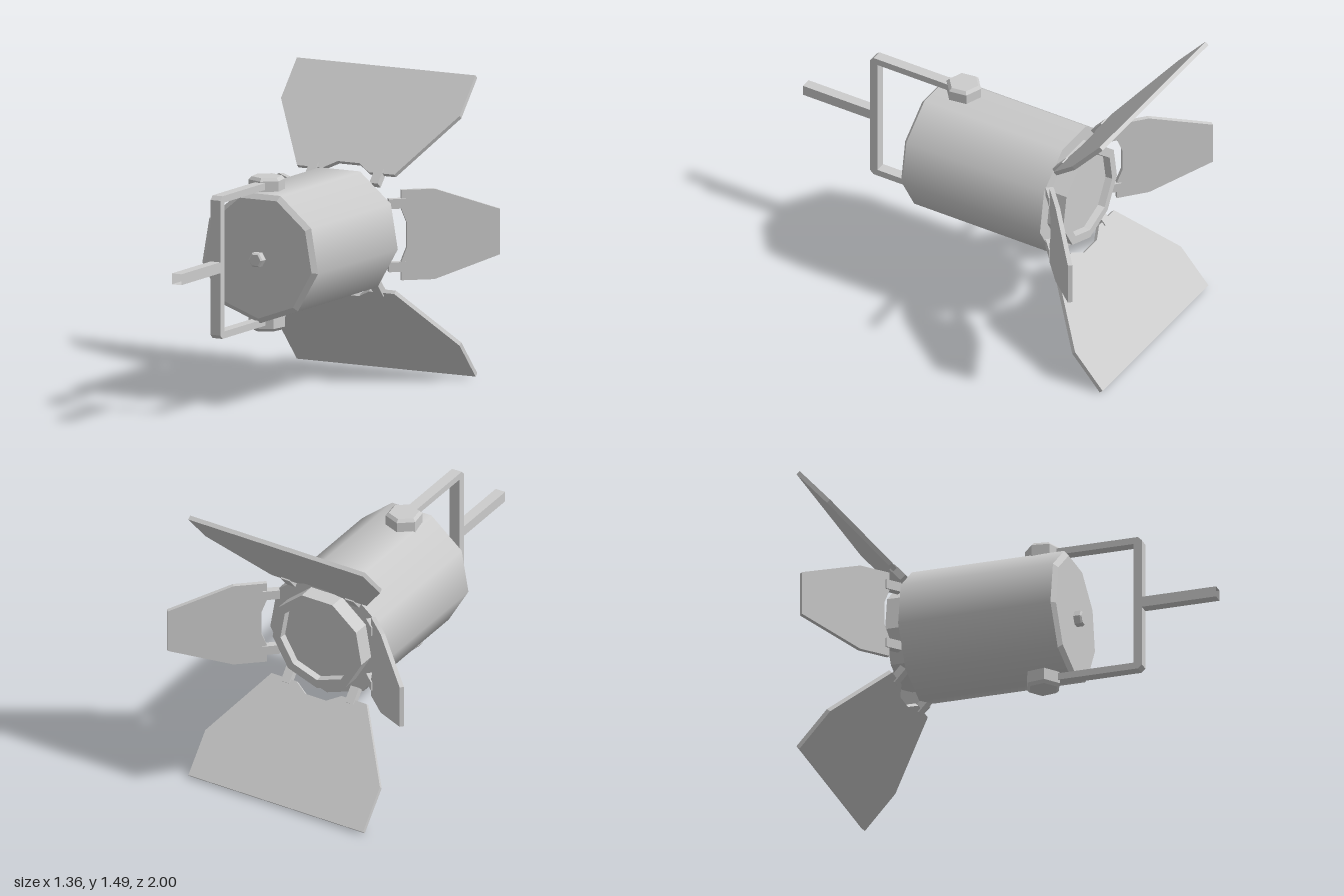
import * as THREE from 'three';

const CENTER_Y = 0.737;
const smooth = new THREE.MeshStandardMaterial({ color: 0xcccccc });
const flat = new THREE.MeshStandardMaterial({ color: 0xcccccc, flatShading: true });
const open = new THREE.MeshStandardMaterial({ color: 0xcccccc, flatShading: true, side: THREE.DoubleSide });

function part(name, geometry, material = flat) {
  const mesh = new THREE.Mesh(geometry, material);
  mesh.name = name;
  return mesh;
}

// Revolve [radius, height] pairs around y
function lathe(points, sides) {
  return new THREE.LatheGeometry(points.map(p => new THREE.Vector2(...p)), sides);
}

function extrude(points, depth) {
  const shape = new THREE.Shape(points.map(p => new THREE.Vector2(...p)));
  return new THREE.ExtrudeGeometry(shape, { depth, bevelEnabled: false }).translate(0, 0, -depth / 2);
}

// Hexagonal bolt with a chamfered head, rising along y from its base
function bolt(name, radius, height, chamfer) {
  return part(name, lathe([
    [0, 0], [radius, 0], [radius, height - chamfer], [radius - chamfer, height], [0, height],
  ], 6));
}

// Nine-sided lamp housing with its axis along z
function lampBody() {
  const body = new THREE.Group();
  body.name = 'lampBody';
  const r = 0.329;
  const shell = new THREE.CylinderGeometry(r, r, 0.78, 9, 1, true).translate(0, -0.15, 0);
  body.add(part('shell', shell, smooth));
  body.add(part('endCap', lathe([[r, 0.24], [0.303, 0.26], [0, 0.26]], 9)));
  body.add(part('lensRing', lathe([
    [0, -0.595], [0.208, -0.595], [0.213, -0.63], [0.258, -0.63], [0.258, -0.54], [r, -0.54],
  ], 9)));
  const capBolt = bolt('capBolt', 0.039, 0.04, 0.008);
  capBolt.position.set(0.004, 0.26, 0.009);
  capBolt.rotation.y = Math.PI / 2;
  body.add(capBolt);
  body.rotation.x = Math.PI / 2;
  body.position.set(-0.004, CENTER_Y, 0);
  return body;
}

// Hinged flap: u runs across, v runs outward from the hinge
function barnDoor(name, d, turn) {
  const door = new THREE.Group();
  door.name = name;
  const right = [
    [0.06, d.notch], [0.13, 0], [d.inner, 0], [d.wide, d.shoulder], [d.outer, d.length],
  ];
  const left = right.map(([u, v]) => [-u, v]).reverse();
  const flap = new THREE.Group();
  flap.add(part('flap', extrude([...right, ...left], 0.022)));
  for (const side of [-1, 1]) {
    const tab = part('hingeTab', new THREE.BoxGeometry(0.048, 0.085, 0.036));
    tab.position.set(side * d.tab, -0.02, 0);
    flap.add(tab);
  }
  flap.position.set(0, d.radius, -0.597);
  flap.rotation.x = -0.725;
  door.add(flap);
  door.position.y = 0.742;
  door.rotation.z = turn;
  return door;
}

// U-shaped yoke, side profile given as [z, y]
function yoke() {
  const profile = [
    [0.1, 1.09], [0.6, 1.09], [0.62, 1.07], [0.62, 0.405], [0.6, 0.386], [0.1, 0.386],
    [0.1, 0.42], [0.578, 0.42], [0.578, 1.056], [0.1, 1.056],
  ];
  const mesh = part('yoke', extrude(profile, 0.055).rotateY(-Math.PI / 2));
  mesh.position.x = -0.037;
  return mesh;
}

export function createModel() {
  const model = new THREE.Group();
  model.name = 'stageSpotlight';
  model.add(lampBody(), yoke());

  // Square mounting tube, open at the far end
  const tube = new THREE.CylinderGeometry(0.038, 0.038, 0.39, 4, 1, true)
    .rotateY(Math.PI / 4).rotateX(Math.PI / 2);
  const stem = part('mountingTube', tube, open);
  stem.position.set(-0.037, 0.74, 0.805);
  model.add(stem);

  // Pivot knobs above and below the body
  const topKnob = bolt('topKnob', 0.09, 0.08, 0.015);
  topKnob.position.set(-0.042, 1.032, 0.108);
  topKnob.rotation.y = 0.15;
  const bottomKnob = bolt('bottomKnob', 0.09, 0.075, 0.015);
  bottomKnob.position.set(-0.042, 0.43, 0.108);
  bottomKnob.rotation.set(Math.PI, 0.15, 0);
  model.add(topKnob, bottomKnob);

  // Barn doors: wide pair above and below, narrow pair at the sides
  const wide = {
    inner: 0.272, wide: 0.5, outer: 0.5, shoulder: 0.365, length: 0.6,
    notch: 0.045, tab: 0.183, radius: 0.287,
  };
  const narrow = {
    inner: 0.223, wide: 0.223, outer: 0.112, shoulder: 0.165, length: 0.49,
    notch: 0.028, tab: 0.156, radius: 0.305,
  };
  model.add(
    barnDoor('topDoor', wide, 0),
    barnDoor('bottomDoor', wide, Math.PI),
    barnDoor('leftDoor', narrow, -Math.PI / 2),
    barnDoor('rightDoor', narrow, Math.PI / 2),
  );
  return model;
}
